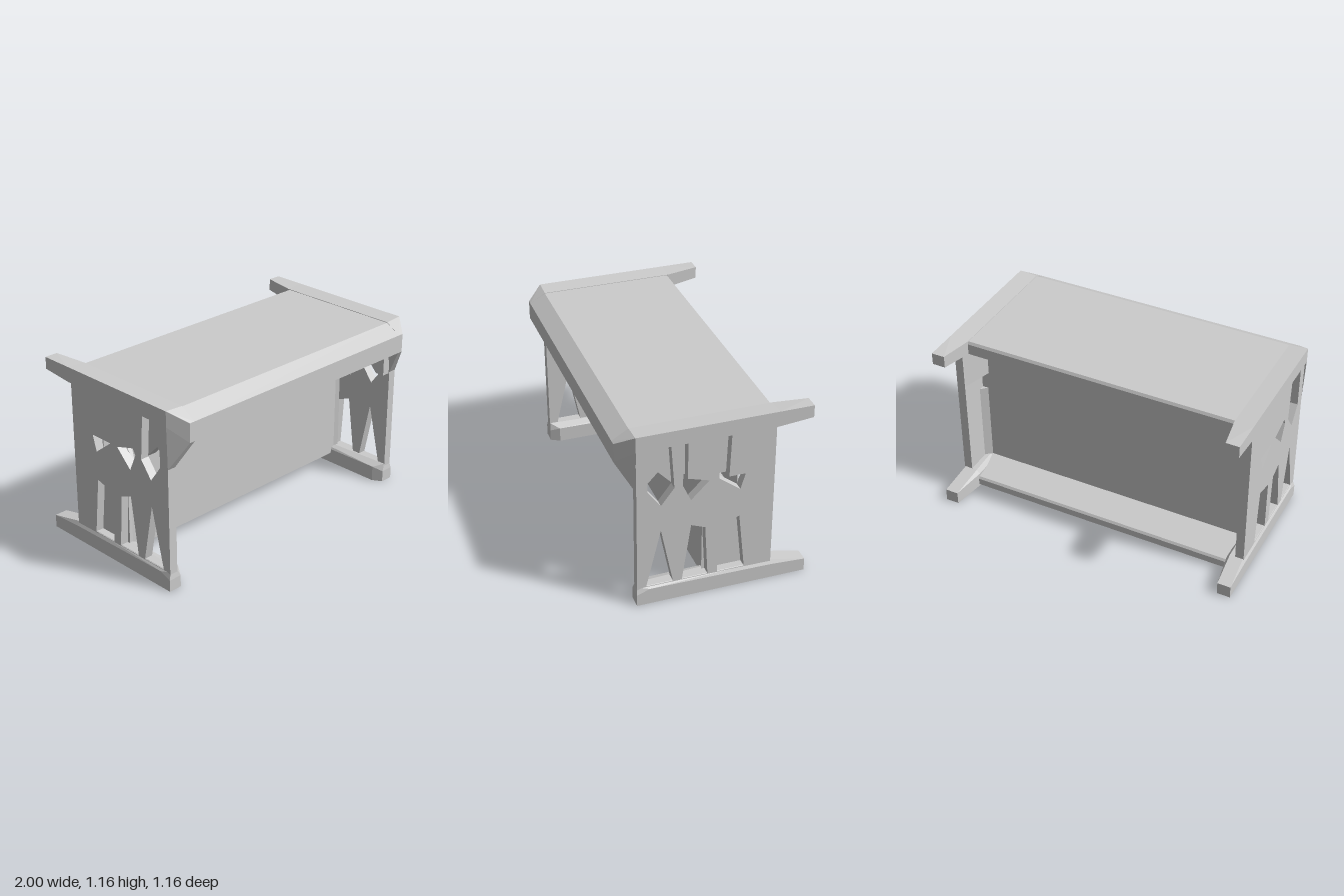
import * as THREE from 'three';
import { ConvexGeometry } from 'three/addons/geometries/ConvexGeometry.js';

export function createModel() {
  const model = new THREE.Group();
  const grey = new THREE.MeshStandardMaterial({ color: 0xcccccc });
  grey.name = 'plain grey';

  const add = (name, geometry) => {
    const mesh = new THREE.Mesh(geometry, grey);
    mesh.name = name;
    model.add(mesh);
  };
  const path = (pts) => pts.map(([z, y]) => new THREE.Vector2(z, y));

  // Extrude a [z, y] outline between two x positions
  const profile = (name, x0, x1, outline, holes = []) => {
    const shape = new THREE.Shape(path(outline));
    holes.forEach((h) => shape.holes.push(new THREE.Path(path(h))));
    const g = new THREE.ExtrudeGeometry(shape, { depth: x1 - x0, bevelEnabled: false });
    g.rotateY(-Math.PI / 2).translate(x1, 0, 0);
    add(name, g);
  };
  // Faceted solid round a few points, mirrored by side
  const hull = (name, side, pts) =>
    add(name, new ConvexGeometry(pts.map(([x, y, z]) => new THREE.Vector3(side * x, y, z))));
  const box = (name, x0, x1, y0, y1, z0, z1) => {
    const g = new THREE.BoxGeometry(x1 - x0, y1 - y0, z1 - z0);
    add(name, g.translate((x0 + x1) / 2, (y0 + y1) / 2, (z0 + z1) / 2));
  };

  // Desk top, deeper towards the middle panel
  profile('deskTop', -0.9, 0.9, [
    [0.58, 0.97], [0.58, 1.09], [0.48, 1.147], [-0.36, 1.147], [-0.37, 1.13],
    [-0.37, 1.06], [-0.16, 1.06], [-0.16, 0.78], [0.05, 0.79],
  ]);

  // Middle panel: solid below, hollow and open-ended near the top
  box('middlePanel', -0.935, 0.935, 0.08, 0.6, -0.16, 0.05);
  box('middlePanelUpperFront', -0.935, 0.935, 0.6, 0.8, 0.04, 0.05);
  box('middlePanelUpperBack', -0.935, 0.935, 0.6, 0.8, -0.16, -0.15);

  // Bottom shelf behind the panel
  profile('bottomShelf', -0.9, 0.9, [
    [0.05, 0.07], [0.05, 0.1], [-0.16, 0.12], [-0.36, 0.075], [-0.37, 0.06],
    [-0.37, 0.015], [-0.2, 0.015],
  ]);

  // Openings cut through each side
  const lower = [
    [[0.42, 0.12], [0.33, 0.5], [0.255, 0.12]],
    [[0.2, 0.12], [0.147, 0.495], [0.06, 0.46], [0.04, 0.12]],
    [[-0.02, 0.12], [-0.02, 0.457], [-0.15, 0.492], [-0.19, 0.12]],
  ];
  const tallUpper = [[0.41, 1.06], [0.41, 0.78], [0.33, 0.67], [0.25, 0.775], [0.27, 1.06]];
  const leftUpper = [
    tallUpper,
    [[0.19, 1.06], [0.2, 0.78], [0.15, 0.67], [0.04, 0.78], [0.17, 0.82], [0.17, 1.06]],
    [[-0.02, 1.06], [-0.02, 0.78], [-0.15, 0.68], [-0.18, 0.78], [-0.08, 0.78], [-0.09, 1.06]],
  ];
  const rightUpper = [
    tallUpper,
    [[0.18, 0.82], [0.2, 0.78], [0.15, 0.67], [0.04, 0.78]],
    [[-0.02, 0.78], [-0.15, 0.68], [-0.18, 0.78]],
  ];

  for (const s of [1, -1]) {
    const side = s > 0 ? 'left' : 'right';
    const span = (a, b) => (s > 0 ? [a, b] : [-b, -a]);

    profile(side + 'SidePanel', ...span(0.935, 0.99),
      [[0.475, 0.08], [0.475, 1.1], [-0.36, 1.1], [-0.36, 0.08]],
      [...(s > 0 ? leftUpper : rightUpper), ...lower]);

    // Upper lining that closes the backs of the tall openings
    profile(side + 'UpperLining', ...span(0.88, 0.937), [
      [0.47, 1.08], [-0.155, 1.08], [-0.155, 0.78], [0.04, 0.78], [0.18, 0.82],
      [0.2, 0.78], [0.25, 0.78], [0.33, 0.865], [0.41, 0.78], [0.47, 0.78],
    ]);
    // Slanted end of the lining, running out to the back edge
    hull(side + 'LiningWedge', s, [0.78, 1.08].flatMap((y) => [
      [0.937, y, -0.355], [0.937, y, -0.15], [0.88, y, -0.15],
    ]));

    // Slanted post where the middle panel meets the side
    hull(side + 'PanelPost', s, [0.1, 0.66].flatMap((y) => [
      [0.89, y, 0.045], [0.937, y, 0.06], [0.937, y, -0.2], [0.89, y, -0.155],
    ]));

    // Top rail with a slimmer tail
    hull(side + 'TopRail', s, [
      [0.88, 1.06, 0.48], [1, 1.06, 0.48], [1, 1.157, 0.48], [0.88, 1.15, 0.48],
      [0.88, 1.06, -0.37], [1, 1.06, -0.37], [0.88, 1.15, -0.37], [1, 1.157, -0.37],
    ]);
    hull(side + 'TopRailTail', s, [
      [0.88, 1.06, -0.37], [1, 1.06, -0.37], [0.88, 1.15, -0.37], [1, 1.157, -0.37],
      [0.915, 1.08, -0.58], [1, 1.08, -0.58], [0.915, 1.157, -0.58], [1, 1.157, -0.58],
    ]);

    // Front corner bracket
    hull(side + 'CornerBracket', s, [
      [0.88, 0.97, 0.58], [0.915, 0.97, 0.58], [0.915, 1.09, 0.58], [0.88, 1.09, 0.58],
      [0.88, 1.15, 0.48], [1, 1.157, 0.48], [1, 1.06, 0.48],
      [0.99, 0.79, 0.475], [0.935, 0.79, 0.475],
    ]);

    // Foot runner with a chamfered toe, sloping down at the back
    const heel = [
      [0.88, 0, -0.36], [1, 0, -0.36], [1, 0.095, -0.36], [0.88, 0.095, -0.36],
      [0.9, 0.122, -0.36], [0.985, 0.122, -0.36],
    ];
    hull(side + 'FootRunner', s, [
      ...heel,
      [0.915, 0, 0.48], [1, 0, 0.48], [1, 0.075, 0.48], [0.915, 0.075, 0.48],
      [0.935, 0.122, 0.473], [0.985, 0.122, 0.473],
      [0.88, 0, 0.42], [0.88, 0.1, 0.42], [1, 0.105, 0.4],
    ]);
    hull(side + 'FootTail', s, [
      ...heel,
      [0.915, 0, -0.58], [1, 0, -0.58], [1, 0.082, -0.58], [0.915, 0.082, -0.58],
    ]);
  }

  // Thicker piece of the right side in front of the middle panel
  hull('rightMiddleBlock', -1, [
    [0.89, 0.48, 0.04], [0.937, 0.48, 0.04], [0.89, 0.8, 0.04], [0.937, 0.8, 0.04],
    [0.937, 0.5, 0.14], [0.937, 0.66, 0.14],
  ]);
  return model;
}
